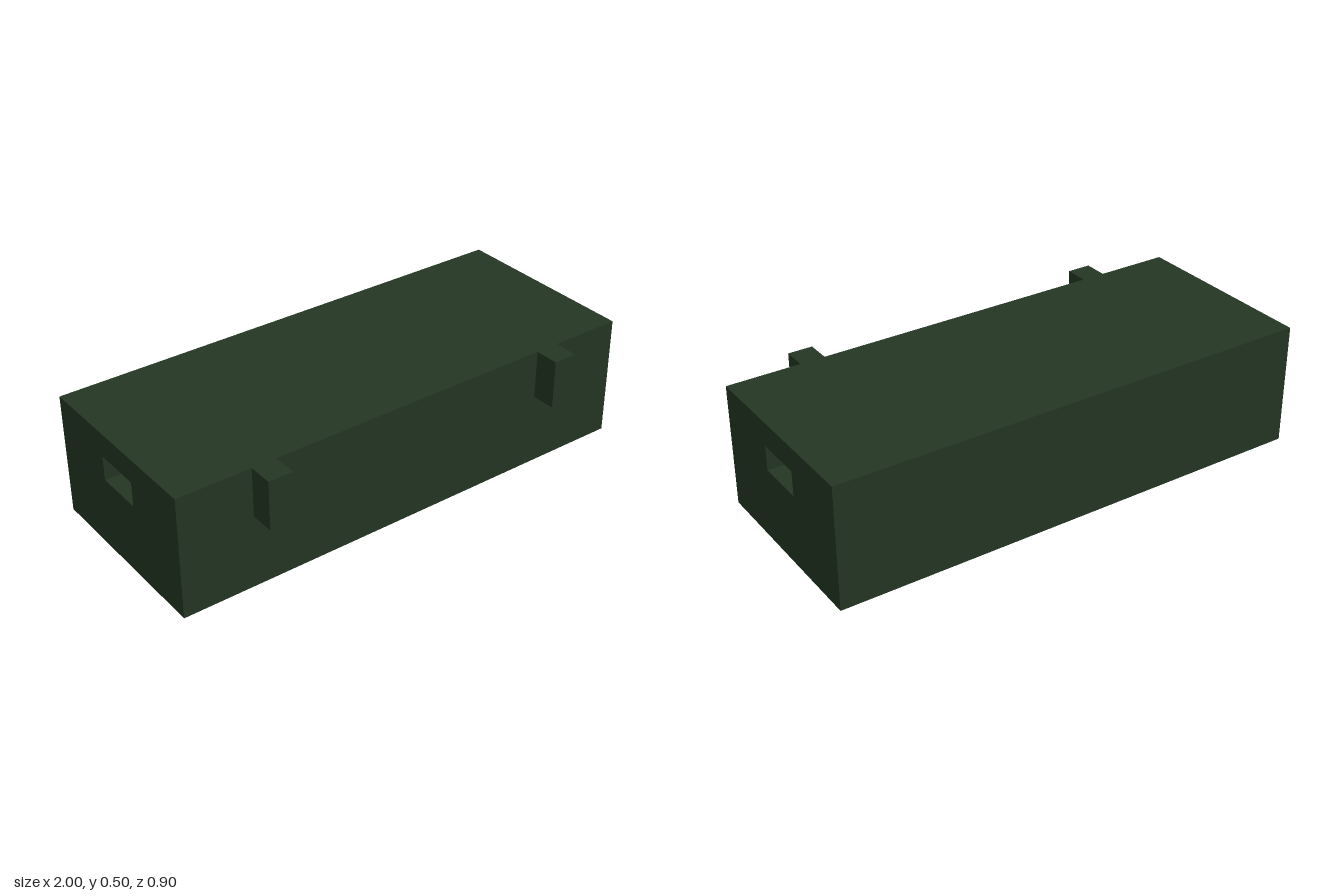
import * as THREE from 'three';

export function createModel() {
  const model = new THREE.Group();
  const darkGreen = new THREE.MeshStandardMaterial({ color: 0x243624 });
  darkGreen.name = 'darkGreen';

  // Rectangle outline from two corners
  const rect = (target, x0, y0, x1, y1) =>
    target.moveTo(x0, y0).lineTo(x1, y0).lineTo(x1, y1).lineTo(x0, y1).closePath();

  // Long block with a rectangular channel through its whole length
  const section = rect(new THREE.Shape(), -0.35, 0, 0.45, 0.5);
  section.holes.push(rect(new THREE.Path(), -0.05, 0.3, 0.15, 0.4));
  const bodyGeometry = new THREE.ExtrudeGeometry(section, { depth: 2, bevelEnabled: false });
  bodyGeometry.translate(0, 0, -1).rotateY(Math.PI / 2);
  const body = new THREE.Mesh(bodyGeometry, darkGreen);
  body.name = 'body';
  model.add(body);

  // Two lugs on the front, flush with the top
  for (const side of [-1, 1]) {
    const lug = new THREE.Mesh(new THREE.BoxGeometry(0.1, 0.2, 0.1), darkGreen);
    lug.name = side > 0 ? 'leftLug' : 'rightLug';
    lug.position.set(side * 0.65, 0.4, 0.4);
    model.add(lug);
  }

  return model;
}
